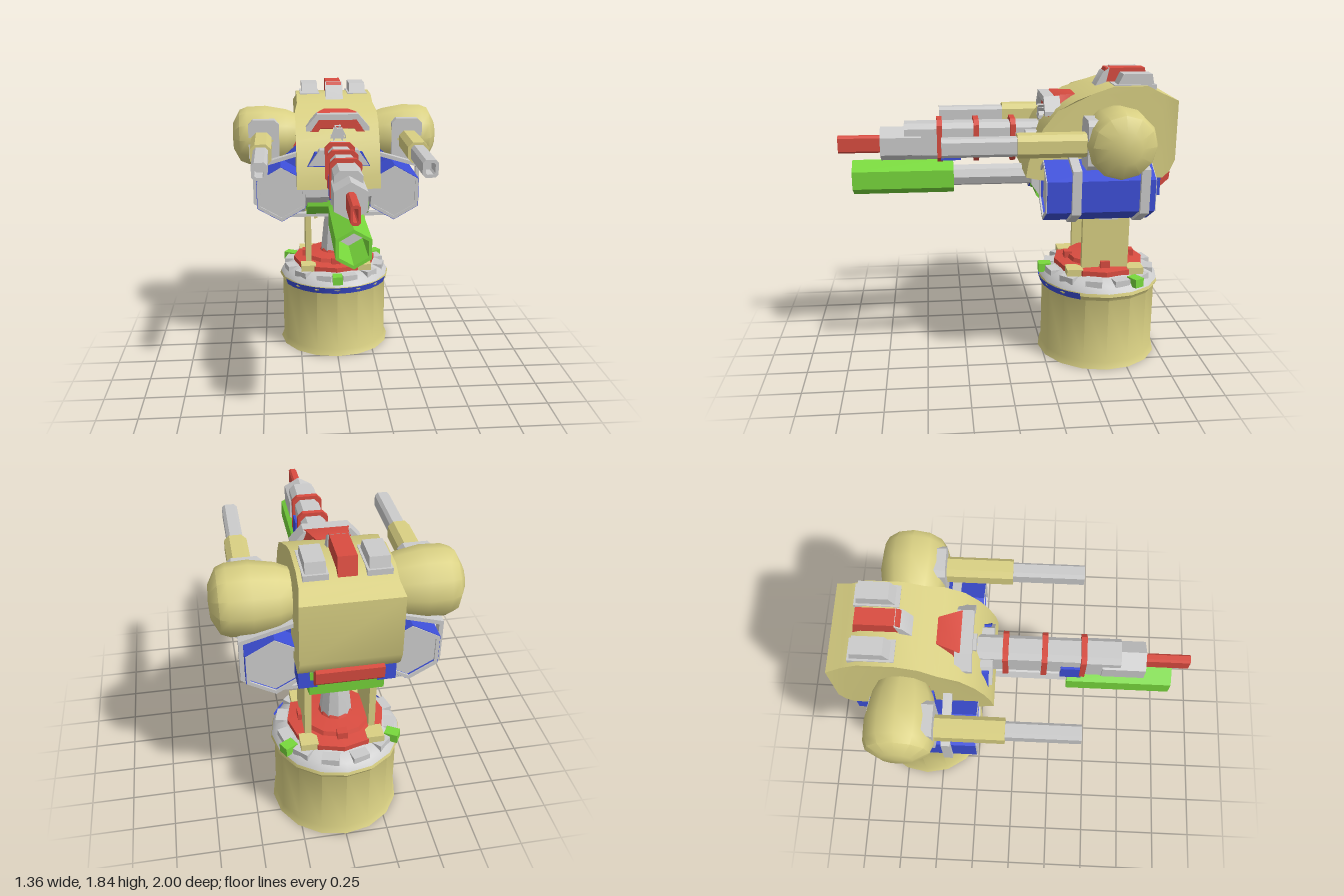
import * as THREE from 'three';
import { toCreasedNormals } from 'three/addons/utils/BufferGeometryUtils.js';

const mat = (color) => new THREE.MeshStandardMaterial({ color, side: THREE.DoubleSide });
const GREY = mat(0xcccccc), SAND = mat(0xd9d083), RED = mat(0xd94c40), BLUE = mat(0x3d4fd8), GREEN = mat(0x78d83c);
const CZ = -0.615; // axis of the pedestal

const shapeOf = (pts) => new THREE.Shape(pts.map((p) => new THREE.Vector2(p[0], p[1])));

// Closed outline in x/y pushed along z, optionally hollow
function alongZ(pts, z0, z1, hole) {
  const s = shapeOf(pts);
  if (hole) s.holes.push(shapeOf(hole));
  return new THREE.ExtrudeGeometry(s, { depth: z1 - z0, bevelEnabled: false }).translate(0, 0, z0);
}

// Side profile given as [z, y], pushed along x and centred
function alongX(pts, width) {
  return new THREE.ExtrudeGeometry(shapeOf(pts), { depth: width, bevelEnabled: false })
    .translate(0, 0, -width / 2).rotateY(-Math.PI / 2);
}

// Regular polygon with a corner at the top
const ngon = (n, r, x, y, turn = 0) => Array.from({ length: n }, (_, i) => {
  const a = Math.PI / 2 + turn + (i * 2 * Math.PI) / n;
  return [x + r * Math.cos(a), y + r * Math.sin(a)];
});

// Rectangle with cut corners
const cutRect = (x, y, w, h, c) => [
  [x - w + c, y - h], [x + w - c, y - h], [x + w, y - h + c], [x + w, y + h - c],
  [x + w - c, y + h], [x - w + c, y + h], [x - w, y + h - c], [x - w, y - h + c]];

const lathe = (pts, sides) => new THREE.LatheGeometry(pts.map((p) => new THREE.Vector2(p[0], p[1])), sides);
const box = (w, h, d, x, y, z) => new THREE.BoxGeometry(w, h, d).translate(x, y, z);
const mirrorX = (half) => [...half, ...half.map(([x, y]) => [-x, y]).reverse()];

export function createModel() {
  const model = new THREE.Group();
  const add = (name, geo, material, parent = model, crease = 0.6) => {
    const m = new THREE.Mesh(toCreasedNormals(geo, crease), material);
    m.name = name;
    parent.add(m);
    return m;
  };

  // Pedestal
  const base = new THREE.Group();
  base.name = 'pedestal';
  base.position.z = CZ;
  model.add(base);
  add('baseDrum', lathe([[0.385, 0], [0.367, 0.04], [0.365, 0.46], [0.385, 0.49], [0.38, 0.51]], 16), SAND, base);
  add('baseFloor', new THREE.CylinderGeometry(0.38, 0.38, 0.01, 16).translate(0, 0.006, 0), GREEN, base);
  add('baseTop', lathe([[0.38, 0.51], [0.35, 0.55], [0.28, 0.585], [0, 0.585]], 16), GREY, base);
  add('blueRim', new THREE.CylinderGeometry(0.389, 0.375, 0.045, 10, 1, true, -1.1, 2.2).translate(0, 0.487, 0), BLUE, base);
  add('turntable', lathe([[0.285, 0.57], [0.285, 0.615], [0.21, 0.625], [0.2, 0.65], [0.1, 0.66], [0.09, 0.68], [0, 0.68]], 12), RED, base, 0.4);
  for (let i = 0; i < 12; i++) {
    const a = (i * Math.PI) / 6;
    add('rimLug', box(0.1, 0.04, 0.08, 0, 0.56, 0.31).rotateY(a + 0.26), GREY, base);
    if (i % 3 === 0) add('turntableTooth', box(0.06, 0.1, 0.05, 0, 0.615, 0.2).rotateY(a), RED, base);
    if (i % 4 === 0) add('greenLamp', box(0.065, 0.055, 0.08, 0, 0.56, 0.35).rotateY(a), GREEN, base);
  }
  for (const s of [-1, 1]) for (const z of [-0.19, 0.19])
    add('columnFoot', box(0.1, 0.065, 0.1, s * 0.19, 0.59, z), SAND, base);

  // Neck: central cone between two broad plates
  add('neckCone', lathe([[0.095, 0.66], [0.075, 0.85], [0.045, 1.02]], 10), GREY, base);
  for (const s of [-1, 1]) {
    add('neckPlate', box(0.038, 0.55, 0.29, s * 0.185, 0.86, 0), SAND, base);
    add('neckBracket', alongX([[-0.12, 1.05], [-0.06, 0.945], [0.05, 0.945], [0.11, 1.05]], 0.075).translate(s * 0.205, 0, 0), GREY, base);
    add('neckPin', box(0.025, 0.14, 0.1, s * 0.13, 0.98, 0.02), SAND, base);
  }

  // Hull, narrowing slightly toward the roof
  const hull = alongX([[-0.11, 1.23], [-0.125, 1.32], [-0.16, 1.42], [-0.21, 1.52], [-0.29, 1.62], [-0.4, 1.68],
    [-0.5, 1.715], [-0.62, 1.755], [-0.82, 1.755], [-0.91, 1.71], [-1, 1.67], [-1, 1.32], [-0.97, 1.25], [-0.93, 1.21], [-0.2, 1.21]], 0.53);
  const p = hull.attributes.position;
  for (let i = 0; i < p.count; i++)
    if (p.getY(i) > 1.7) p.setX(i, p.getX(i) * 0.94);
  hull.computeVertexNormals();
  add('hull', hull, SAND);
  add('lowerHull', alongX([[-0.15, 1.3], [-0.15, 1.17], [-0.2, 1.1], [-0.85, 1.1], [-0.9, 1.15], [-0.9, 1.3]], 0.42), GREY);
  add('belly', alongX([[-0.18, 1.2], [-0.18, 1.1], [-0.23, 1.04], [-0.32, 1.01], [-0.82, 1.01], [-0.91, 1.04], [-0.925, 1.2]], 0.4), GREEN);
  add('rearPanel', alongX([[-0.9, 1.26], [-1, 1.25], [-0.995, 1.18], [-0.93, 1.12], [-0.88, 1.14]], 0.36), RED);

  // Roof vents and crest
  for (const s of [-1, 1]) {
    add('roofVent', alongX([[-0.62, 1.7], [-0.68, 1.82], [-0.85, 1.82], [-0.875, 1.7]], 0.105).translate(s * 0.16, 0, 0), GREY);
    add('ventBase', box(0.13, 0.05, 0.25, s * 0.16, 1.735, -0.75), GREY);
  }
  add('crest', alongX([[-0.54, 1.7], [-0.61, 1.835], [-0.845, 1.835], [-0.87, 1.72], [-0.86, 1.7]], 0.1), RED);
  add('crestFront', alongX([[-0.52, 1.68], [-0.59, 1.81], [-0.63, 1.837], [-0.6, 1.7]], 0.115), GREY);

  // Visor: roof plate flaring forward, with an arched lip
  const visor = alongX([[-0.26, 1.59], [-0.26, 1.67], [-0.3, 1.69], [-0.42, 1.69], [-0.42, 1.55], [-0.3, 1.55]], 0.38);
  const v = visor.attributes.position;
  for (let i = 0; i < v.count; i++)
    v.setX(i, v.getX(i) * (1 - 0.42 * (-0.26 - v.getZ(i)) / 0.16) * (v.getY(i) > 1.65 ? 0.72 : 1));
  visor.computeVertexNormals();
  add('visor', visor, RED);
  const arch = (w, top, drop, t) => mirrorX([[w, drop], [w, top - 0.08], [w - 0.07, top]])
    .concat([[-w + t, drop], [-w + t, top - 0.1], [-w + 0.08, top - t], [w - 0.08, top - t], [w - t, top - 0.1], [w - t, drop]]);
  add('visorLip', alongZ(arch(0.2, 1.685, 1.58, 0.035), -0.32, -0.225), GREY);
  add('visorInner', alongZ(arch(0.175, 1.65, 1.54, 0.04), -0.33, -0.25), RED);
  add('sensor', alongZ(arch(0.05, 1.615, 1.555, 0.018), -0.32, -0.21), GREY);

  // Gun mantlet
  add('mantletHood', alongZ([[-0.19, 1.38], [0.19, 1.38], [0.12, 1.48], [-0.12, 1.48]], -0.24, -0.12), GREY);
  add('mantletTrim', alongZ([[-0.2, 1.37], [0.2, 1.37], [0.15, 1.46], [-0.15, 1.46]], -0.24, -0.14), BLUE);

  // Central gun
  const gun = new THREE.Group();
  gun.name = 'centralGun';
  model.add(gun);
  add('breech', alongZ(cutRect(0, 1.415, 0.075, 0.105, 0.03), -0.25, 0.4), GREY, gun);
  for (const z of [-0.05, 0.17, 0.39])
    add('gunBand', alongZ(cutRect(0, 1.415, 0.092, 0.127, 0.03), z - 0.016, z + 0.016), RED, gun);
  add('gunCell', box(0.18, 0.12, 0.12, 0, 1.36, 0.325), BLUE, gun);
  add('barrelJacket', alongZ(cutRect(0, 1.41, 0.08, 0.11, 0.03), 0.4, 0.6), GREY, gun);
  add('barrelCollar', alongZ(ngon(6, 0.105, 0, 1.39), 0.5, 0.745), GREY, gun);
  add('muzzle', alongZ(cutRect(0, 1.39, 0.026, 0.052, 0.012), 0.7, 1, cutRect(0, 1.39, 0.014, 0.036, 0.006)), RED, gun);

  // Launch tube under the gun
  add('launchTube', alongZ(ngon(6, 0.108, 0, 1.185), 0.31, 0.92, ngon(6, 0.088, 0, 1.185)), GREEN, gun);
  add('launchPlug', alongZ(ngon(6, 0.095, 0, 1.185), 0.315, 0.6), GREY, gun);
  add('tubeRod', alongZ(ngon(8, 0.065, 0, 1.185), -0.2, 0.33), GREY, gun);
  add('rodSocket', alongZ(ngon(6, 0.09, 0, 1.185), -0.24, -0.17), GREEN, gun);

  // Shoulders, side guns and pods
  for (const s of [-1, 1]) {
    const side = new THREE.Group();
    side.name = s > 0 ? 'leftArm' : 'rightArm';
    model.add(side);
    add('shoulder', lathe([[0, 0.22], [0.14, 0.24], [0.175, 0.32], [0.2, 0.46], [0.195, 0.58], [0.175, 0.63], [0.09, 0.675], [0, 0.68]], 12)
      .rotateZ(-s * Math.PI / 2).translate(0, 1.485, -0.605), SAND, side, 0.75);
    add('shoulderPlate', alongZ(cutRect(s * 0.47, 1.48, 0.1, 0.14, 0.03), -0.5, -0.415), GREY, side);
    add('armBarrel', alongZ(cutRect(s * 0.485, 1.475, 0.065, 0.065, 0.03), -0.55, -0.03), SAND, side);
    add('armMuzzle', alongZ(cutRect(s * 0.485, 1.472, 0.046, 0.052, 0.018), -0.05, 0.385, cutRect(s * 0.485, 1.472, 0.028, 0.034, 0.01)), GREY, side);
    add('armBore', box(0.06, 0.07, 0.02, s * 0.485, 1.472, 0.25), GREY, side);
    add('sidePatch', box(0.03, 0.16, 0.14, s * 0.262, 1.42, -0.53), RED, side);

    add('pod', alongZ(ngon(6, 0.182, s * 0.365, 1.178), -0.82, -0.2, ngon(6, 0.17, s * 0.365, 1.178)), BLUE, side);
    add('podCore', alongZ(ngon(6, 0.172, s * 0.365, 1.178), -0.79, -0.22), GREY, side);
    add('podRim', alongZ(ngon(6, 0.178, s * 0.365, 1.178), -0.205, -0.195, ngon(6, 0.155, s * 0.365, 1.178)), GREY, side);
    add('podRearRim', alongZ(ngon(6, 0.178, s * 0.365, 1.178), -0.825, -0.815, ngon(6, 0.155, s * 0.365, 1.178)), GREY, side);
    add('podMount', box(0.1, 0.11, 0.2, s * 0.21, 1.155, -0.82), BLUE, side);
    add('podBrace', alongZ([[s * 0.22, 1.48], [s * 0.22, 1.2], [s * 0.48, 1.25], [s * 0.36, 1.36]], -0.7, -0.44), BLUE, side);
  }

  // Belts wrapped round both pods
  for (const z of [-0.365, -0.755])
    add('podBelt', alongZ(mirrorX([[0.38, 0.985], [0.548, 1.08], [0.548, 1.335], [0.24, 1.425]]), z - 0.026, z + 0.026,
      mirrorX([[0.374, 1.008], [0.524, 1.094], [0.524, 1.317], [0.24, 1.4]])), GREY);

  return model;
}
